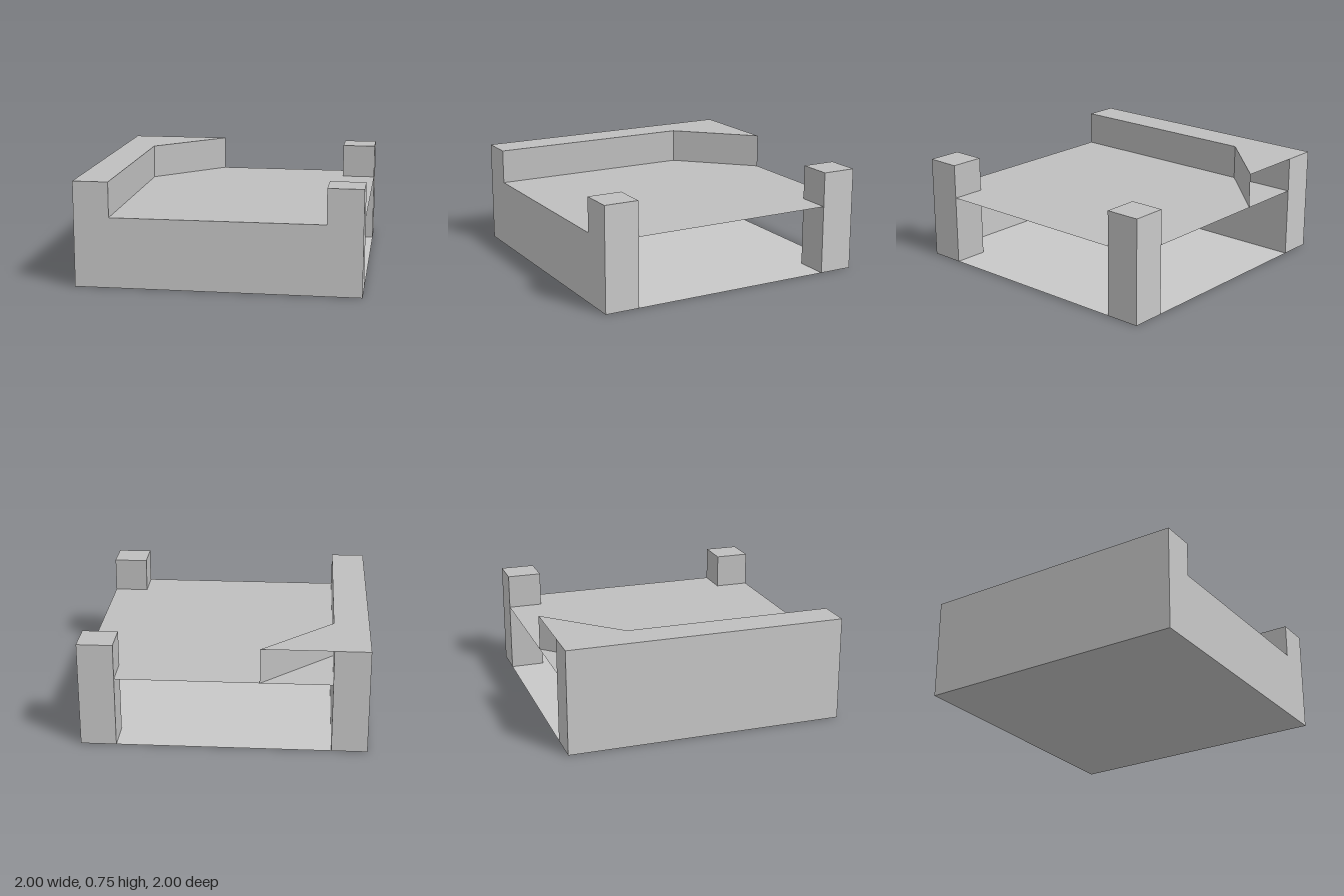
import * as THREE from 'three';

export function createModel() {
  const model = new THREE.Group();
  const pale = new THREE.MeshStandardMaterial({ color: 0xc8c8c8, side: THREE.DoubleSide });
  pale.name = 'pale grey';
  const grey = new THREE.MeshStandardMaterial({ color: 0xbfbfbf, side: THREE.DoubleSide });
  grey.name = 'mid grey';

  const add = (name, geometry, material, x = 0, y = 0, z = 0) => {
    const mesh = new THREE.Mesh(geometry, material);
    mesh.name = name;
    mesh.position.set(x, y, z);
    model.add(mesh);
    return mesh;
  };

  // Flat horizontal sheet from [x, z] corners
  const sheet = (corners) => {
    const shape = new THREE.Shape(corners.map(([x, z]) => new THREE.Vector2(x, -z)));
    return new THREE.ShapeGeometry(shape).rotateX(-Math.PI / 2);
  };

  const H = 0.75, DECK = 0.5, W = 0.25;
  const inner = 1 - W;

  // Solid side wall: pale outside, mid grey on top and inside
  add('sideWall', new THREE.BoxGeometry(W, H, 2),
    [grey, pale, grey, pale, pale, pale], -1 + W / 2, H / 2, 0);

  // Corner posts
  for (const s of [1, -1]) {
    add(s > 0 ? 'frontPost' : 'backPost', new THREE.BoxGeometry(W, H, W),
      [pale, grey, grey, pale, s > 0 ? pale : grey, s > 0 ? grey : pale],
      1 - W / 2, H / 2, s * (1 - W / 2));
  }

  // Floor and deck sheets, notched around the posts
  const outline = [
    [-inner, 1], [inner, 1], [inner, inner], [1, inner],
    [1, -inner], [inner, -inner], [inner, -1], [-inner, -1],
  ];
  add('floor', sheet(outline), pale);
  add('deck', sheet(outline), grey, 0, DECK, 0);

  // Front panel; the right and back sides stay open
  add('frontPanel', new THREE.PlaneGeometry(2 * inner, DECK), pale, 0, DECK / 2, 1);

  // Raised corner: triangular top with a diagonal face, open at the back
  add('cornerTop', sheet([[-inner, -1], [-inner, -0.5], [-0.25, -1]]), grey, 0, H, 0);
  const diagonal = add('cornerDiagonal',
    new THREE.PlaneGeometry(Math.SQRT1_2, H - DECK), grey, -0.5, (H + DECK) / 2, -0.75);
  diagonal.rotation.y = Math.PI / 4;

  return model;
}
